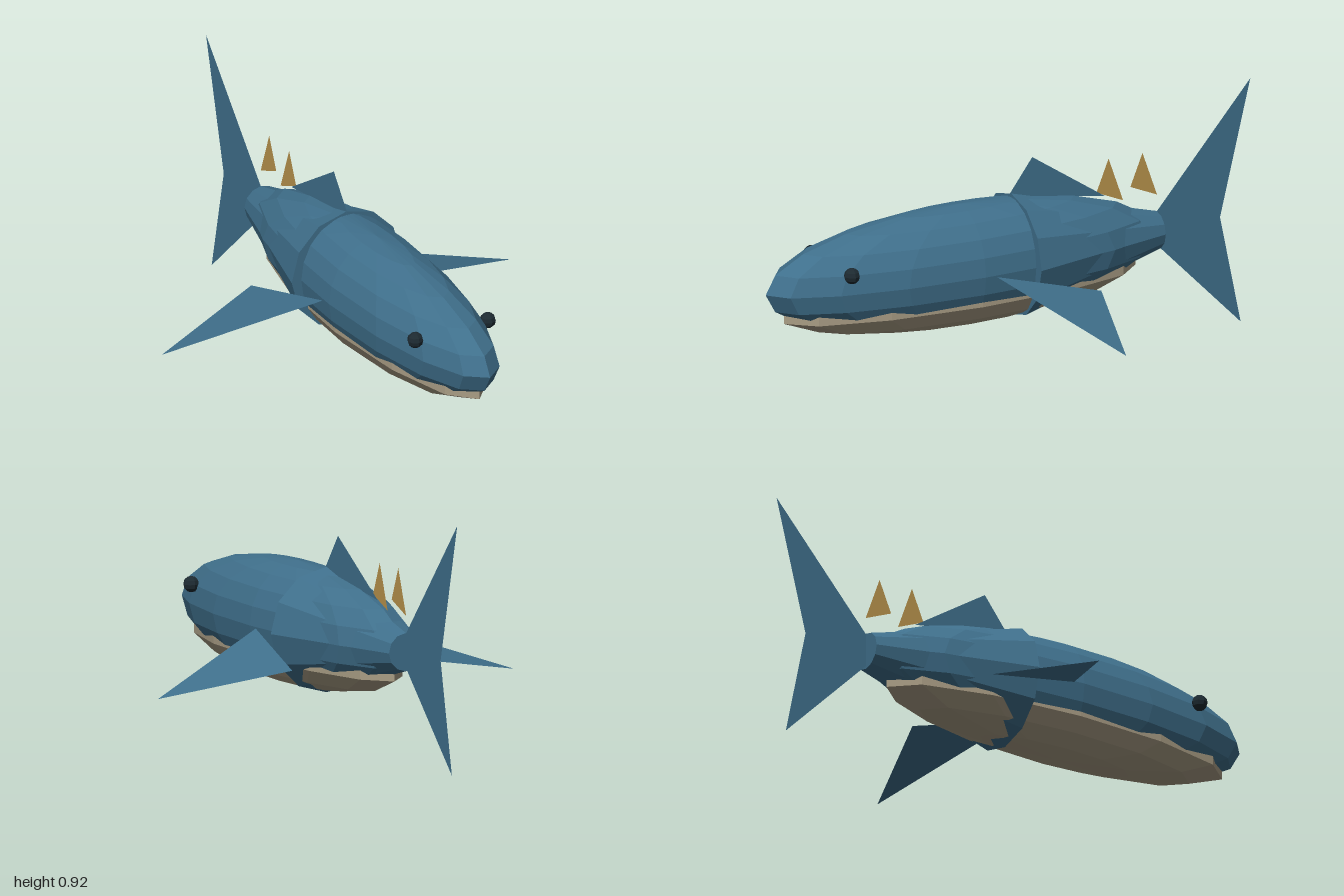
import * as THREE from 'three';

const material = (name, color, side = THREE.FrontSide) => {
  const m = new THREE.MeshStandardMaterial({ color, flatShading: true, side });
  m.name = name;
  return m;
};

export function createModel() {
  const model = new THREE.Group();
  model.name = 'fish';
  const blue = material('seaBlue', 0x3f6f8b, THREE.DoubleSide);
  const cream = material('bellyCream', 0xa89c84);
  const gold = material('finletGold', 0xb8934c, THREE.DoubleSide);
  const black = material('eyeBlack', 0x1d2a31);

  const add = (name, geometry, mat, x, y, z) => {
    const mesh = new THREE.Mesh(geometry, mat);
    mesh.name = name;
    mesh.position.set(x, y, z);
    model.add(mesh);
    return mesh;
  };

  // Flat fin through a fan of corners
  const fin = (name, mat, corners) => {
    const g = new THREE.BufferGeometry();
    const pts = [];
    for (let i = 1; i < corners.length - 1; i++) pts.push(...corners[0], ...corners[i], ...corners[i + 1]);
    g.setAttribute('position', new THREE.Float32BufferAttribute(pts, 3));
    g.computeVertexNormals();
    return add(name, g, mat, 0, 0, 0);
  };

  // Long faceted body, pale belly and tapering tail stock
  add('body', new THREE.SphereGeometry(1, 16, 10).scale(0.2, 0.225, 0.8), blue, 0, 0.405, 0.2);
  add('belly', new THREE.SphereGeometry(1, 12, 7).scale(0.18, 0.135, 0.744), cream, 0, 0.315, 0.2);
  add('tailStock', new THREE.CylinderGeometry(0.07, 0.23, 0.6, 12).rotateX(-Math.PI / 2), blue, 0, 0.405, -0.313);

  // Fins on the centre line
  fin('tailFin', blue, [[0, 0.405, -0.555], [0, 0.92, -1], [0, 0.41, -0.875], [0, 0, -0.96]]);
  fin('dorsalFin', blue, [[0, 0.625, 0], [0, 0.76, -0.1], [0, 0.565, -0.4]]);
  for (const z of [-0.415, -0.555]) {
    fin('finlet', gold, [[0, 0.583, z + 0.05], [0, 0.705, z], [0, 0.537, z - 0.06]]);
  }

  // Paired side fins and eyes
  for (const [side, s] of [['left', 1], ['right', -1]]) {
    fin(side + 'SideFin', blue, [[0.2 * s, 0.4, 0.155], [0.265 * s, 0.305, -0.24], [0.735 * s, 0.215, -0.085]]);
    add(side + 'Eye', new THREE.SphereGeometry(0.03, 8, 6), black, 0.153 * s, 0.48, 0.728);
  }
  return model;
}
